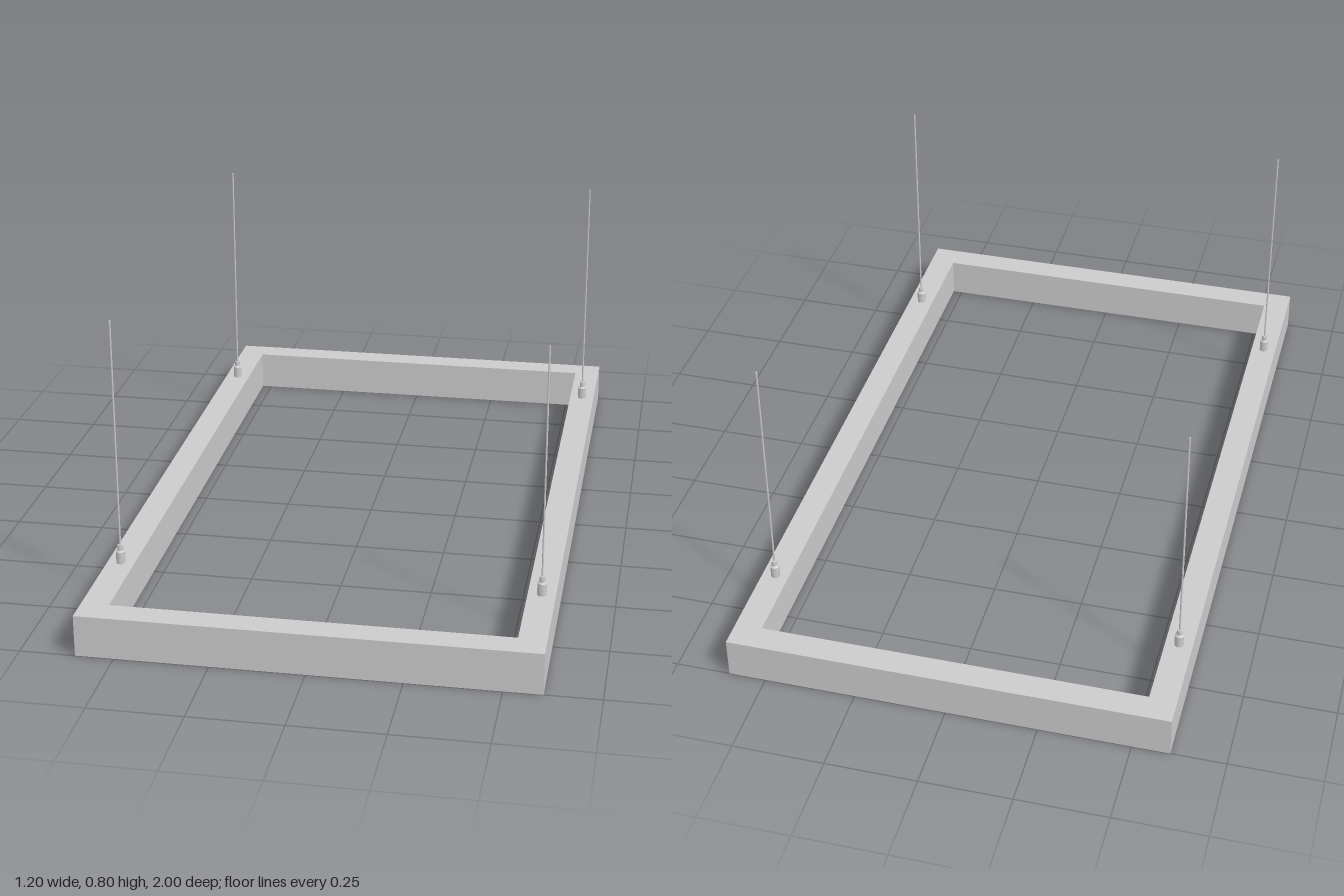
import * as THREE from 'three';

const HALF_X = 0.602, HALF_Z = 1, HEIGHT = 0.114, BAR = 0.074;
const LIP = 0.008, RECESS = 0.012;

// Sweeps a profile of [inset, y] points round a mitred rectangle
function mitredLoop(profile, closed = true) {
  const corners = [[1, 1], [1, -1], [-1, -1], [-1, 1]];
  const at = ([sx, sz], [inset, y]) => [sx * (HALF_X - inset), y, sz * (HALF_Z - inset)];
  const positions = [];
  const steps = closed ? profile.length : profile.length - 1;
  corners.forEach((c0, i) => {
    const c1 = corners[(i + 1) % 4];
    for (let j = 0; j < steps; j++) {
      const p0 = profile[j], p1 = profile[(j + 1) % profile.length];
      const a = at(c0, p0), b = at(c1, p0), c = at(c1, p1), d = at(c0, p1);
      positions.push(...a, ...b, ...c, ...a, ...c, ...d);
    }
  });
  const geometry = new THREE.BufferGeometry();
  geometry.setAttribute('position', new THREE.Float32BufferAttribute(positions, 3));
  geometry.computeVertexNormals();
  return geometry;
}

export function createModel() {
  const model = new THREE.Group();
  model.name = 'pendantFrameLight';
  const grey = new THREE.MeshStandardMaterial({ color: 0xcccccc });

  const add = (parent, name, geometry, y = 0) => {
    const mesh = new THREE.Mesh(geometry, grey);
    mesh.name = name;
    mesh.position.y = y;
    parent.add(mesh);
    return mesh;
  };

  // Housing: outer wall, top, inner wall, then the lips of the channel below
  add(model, 'housing', mitredLoop([
    [0, 0], [0, HEIGHT], [BAR, HEIGHT], [BAR, 0],
    [BAR - LIP, 0], [BAR - LIP, RECESS], [LIP, RECESS], [LIP, 0],
  ]));

  // Diffuser: a strip set back between the lips
  const gap = 0.004;
  add(model, 'diffuser', mitredLoop([
    [LIP + gap, 0.005], [LIP + gap, RECESS],
    [BAR - LIP - gap, RECESS], [BAR - LIP - gap, 0.005],
  ]));

  // Suspension: a stepped cable gripper and a thin cable at four points
  const gripper = new THREE.LatheGeometry([
    [0, 0], [0.0125, 0], [0.0125, 0], [0.0125, 0.034], [0.0125, 0.034], [0.008, 0.038],
    [0.008, 0.038], [0.0075, 0.053], [0.0075, 0.053], [0, 0.053],
  ].map(([r, y]) => new THREE.Vector2(r, y)), 16);
  const cableLength = 0.804 - HEIGHT;
  const cable = new THREE.CylinderGeometry(0.0025, 0.0025, cableLength, 10);

  for (const x of [-0.565, 0.565]) {
    for (const z of [-0.715, 0.682]) {
      const suspension = new THREE.Group();
      suspension.name = `${z > 0 ? 'front' : 'back'}${x > 0 ? 'Left' : 'Right'}Suspension`;
      suspension.position.set(x, HEIGHT, z);
      add(suspension, 'cableGripper', gripper);
      add(suspension, 'cable', cable, cableLength / 2);
      model.add(suspension);
    }
  }
  return model;
}
